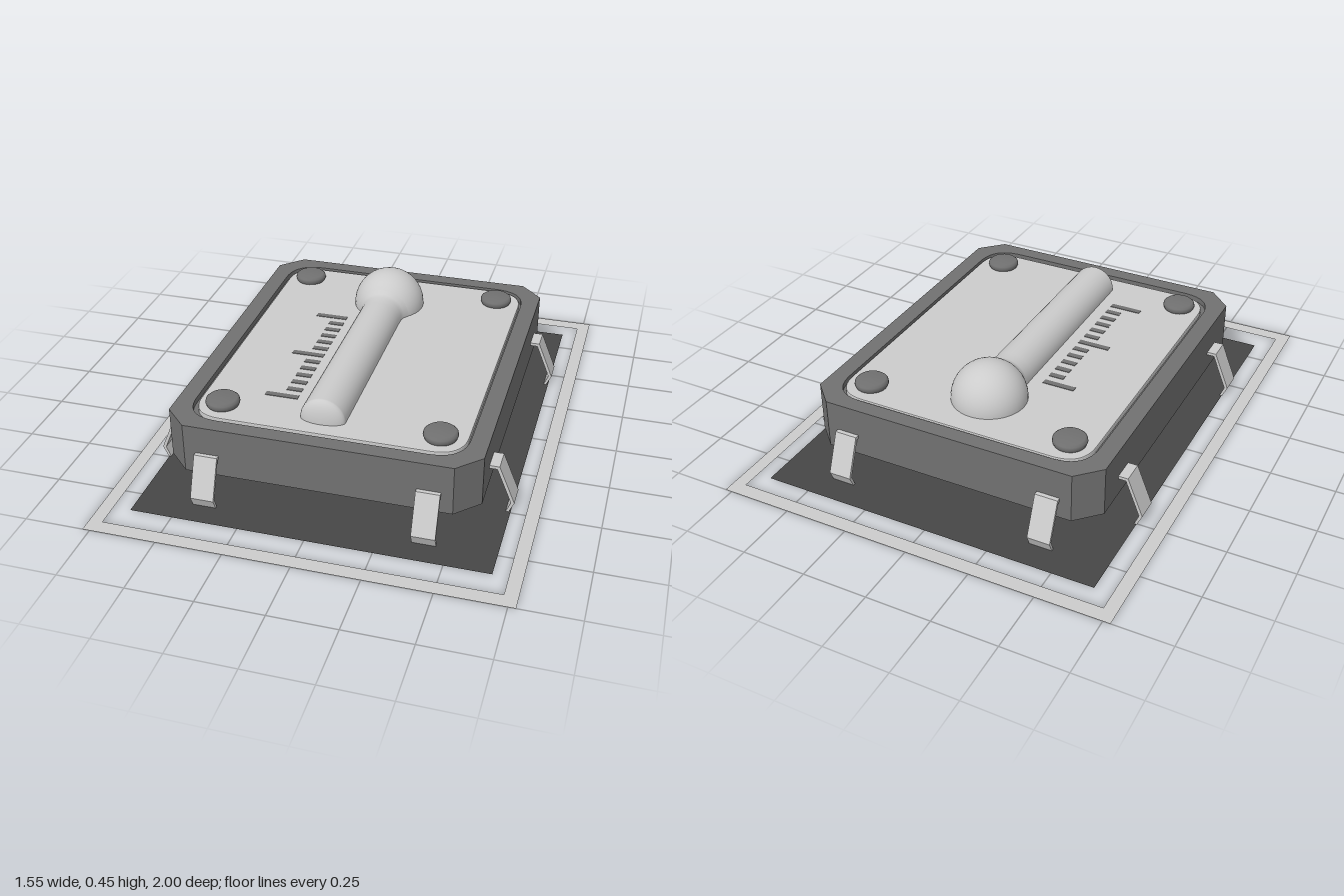
import * as THREE from 'three';

const material = (color) => new THREE.MeshStandardMaterial({ color, side: THREE.DoubleSide });

// Rectangle with cut (chamfered) or rounded corners
function rectShape(w, d, corner, rounded = true, Type = THREE.Shape) {
  const s = new Type(), x = w / 2, y = d / 2, c = corner;
  const turn = (cx, cy, ex, ey) => (rounded && c ? s.quadraticCurveTo(cx, cy, ex, ey) : s.lineTo(ex, ey));
  s.moveTo(-x + c, -y);
  s.lineTo(x - c, -y); turn(x, -y, x, -y + c);
  s.lineTo(x, y - c); turn(x, y, x - c, y);
  s.lineTo(-x + c, y); turn(-x, y, -x, y - c);
  s.lineTo(-x, -y + c); turn(-x, -y, -x + c, -y);
  return s;
}

// Extrude a plan shape upward from y0 to y1
function slab(shape, y0, y1, bevel = 0) {
  const g = new THREE.ExtrudeGeometry(shape, {
    depth: y1 - y0 - bevel, bevelEnabled: bevel > 0, bevelThickness: bevel,
    bevelSize: bevel, bevelOffset: -bevel, bevelSegments: 2, curveSegments: 12,
  });
  g.rotateX(-Math.PI / 2);
  g.translate(0, y0, 0);
  return g;
}

export function createModel() {
  const model = new THREE.Group();
  model.name = 'thermometerModule';
  const light = material(0xcccccc), dark = material(0x717171), black = material(0x464646);

  const add = (name, geometry, mat, x = 0, y = 0, z = 0) => {
    const mesh = new THREE.Mesh(geometry, mat);
    mesh.name = name;
    mesh.position.set(x, y, z);
    model.add(mesh);
    return mesh;
  };

  // Flat outline frame and dark mat on the ground
  const frame = rectShape(1.555, 2, 0);
  frame.holes.push(rectShape(1.455, 1.886, 0, true, THREE.Path));
  add('outlineFrame', new THREE.ShapeGeometry(frame).rotateX(-Math.PI / 2), light);
  add('groundMat', new THREE.PlaneGeometry(1.332, 1.722).rotateX(-Math.PI / 2), black, 0.005, 0, -0.009);

  // Chamfered housing with a narrow groove around the face panel
  const body = rectShape(1.17, 1.412, 0.087, false);
  body.holes.push(rectShape(1.036, 1.29, 0.13, true, THREE.Path));
  add('housing', slab(body, 0.108, 0.302), dark, 0, 0, -0.003);
  add('housingFloor', slab(rectShape(1.036, 1.29, 0.13), 0.108, 0.28), dark, 0, 0, -0.003);
  add('facePanel', slab(rectShape(1.012, 1.256, 0.12), 0.27, 0.3, 0.004), light, 0.003, 0, -0.007);

  // Corner screws with rounded edges
  const screwProfile = [[0, 0], [0.05, 0], [0.06, 0.018], [0.064, 0.028], [0.062, 0.038], [0.054, 0.045], [0, 0.046]]
    .map(([r, y]) => new THREE.Vector2(r, y));
  for (const x of [-0.41, 0.41])
    for (const z of [-0.536, 0.524])
      add('cornerScrew', new THREE.LatheGeometry(screwProfile, 32), dark, x, 0.284, z);

  // Thermometer bulb, and a stem with a slight neck and shallow domed end
  add('bulb', new THREE.SphereGeometry(0.144, 40, 24), light, -0.023, 0.306, -0.411);
  const stem = [[0.107, -0.315], [0.092, -0.294], [0.086, -0.275], [0.085, -0.23]]
    .map(([r, z]) => new THREE.Vector2(r, z));
  for (let i = 0; i <= 8; i++) {
    const a = (i / 8) * Math.PI / 2;
    stem.push(new THREE.Vector2(0.085 * Math.cos(a), 0.53 + 0.035 * Math.sin(a)));
  }
  add('stem', new THREE.LatheGeometry(stem, 36).rotateX(Math.PI / 2), light, -0.023, 0.305, 0);

  // Scale marks, every sixth one long
  for (let i = 0; i <= 12; i++) {
    const long = i % 6 === 0, w = long ? 0.127 : 0.06;
    add(long ? 'longMark' : 'shortMark', new THREE.BoxGeometry(w, 0.004, 0.024), dark,
      -0.156 - w / 2, 0.3, -0.226 + i * 0.0532);
  }

  // Bent spring legs: strip profile swept over the leg width
  const leg = new THREE.Shape([
    [-0.03, 0.192], [0.039, 0.192], [0.1, 0.043], [0.081, 0.002],
    [0.07, 0.002], [0.087, 0.043], [0.031, 0.18], [-0.03, 0.18],
  ].map(([x, y]) => new THREE.Vector2(x, y)));
  const legGeometry = new THREE.ExtrudeGeometry(leg, { depth: 0.088, bevelEnabled: false });
  legGeometry.translate(0, 0, -0.044);
  const addLeg = (name, x, z, turn) => { add(name, legGeometry, light, x, 0, z).rotation.y = turn; };
  for (const z of [-0.461, 0.454]) {
    addLeg('leftLeg', 0.583, z, 0);
    addLeg('rightLeg', -0.583, z, Math.PI);
  }
  for (const x of [-0.41, 0.411]) {
    addLeg('frontLeg', x, 0.68, -Math.PI / 2);
    addLeg('backLeg', x, -0.687, Math.PI / 2);
  }
  return model;
}
